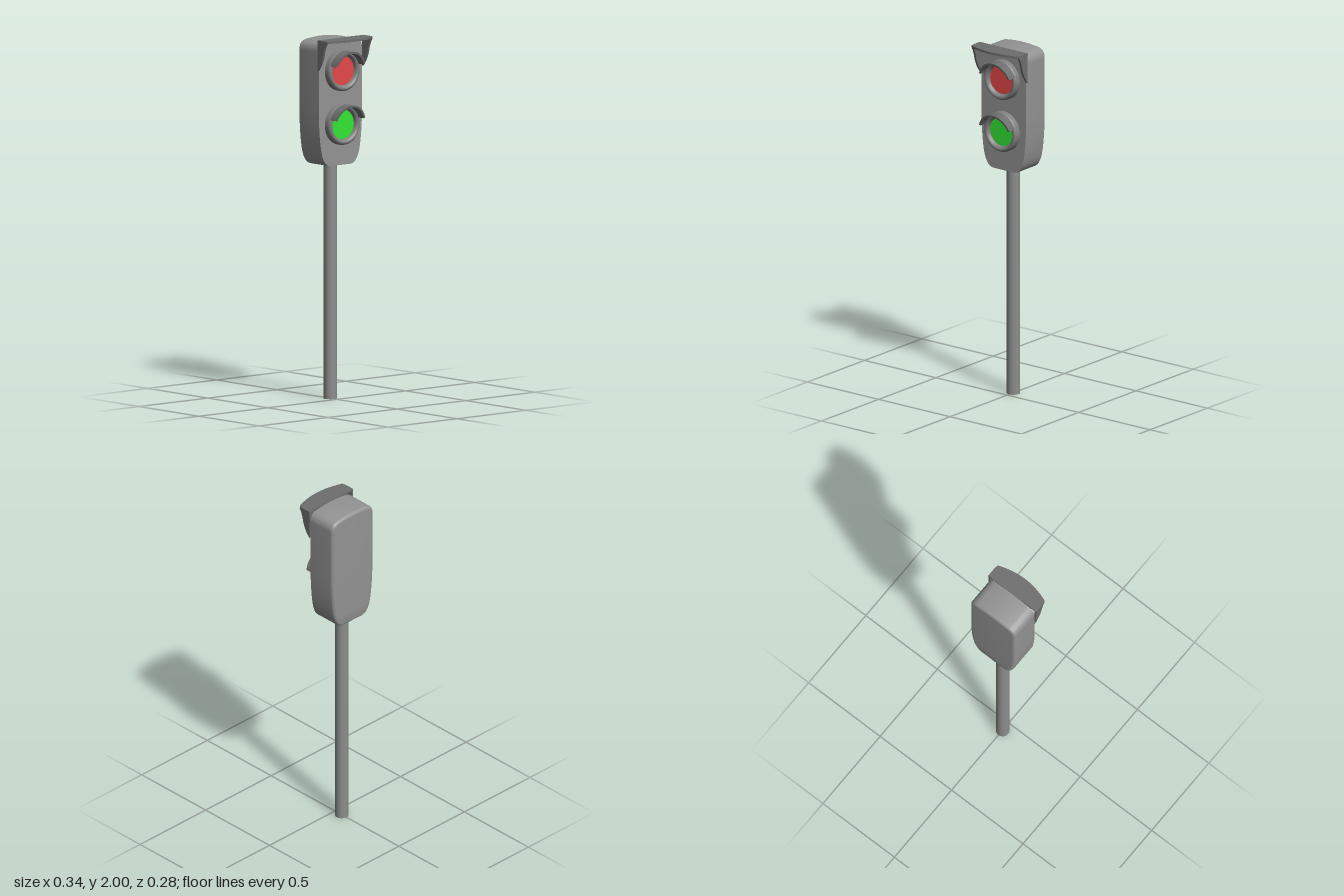
import * as THREE from 'three';
import { toCreasedNormals } from 'three/addons/utils/BufferGeometryUtils.js';

const paint = (color) => new THREE.MeshStandardMaterial({ color });
const housingGrey = paint(0x939393);
const poleGrey = paint(0x8d8d8d);
const rimGrey = paint(0x808080);
const hoodGrey = paint(0x6e6e6e);
const red = paint(0xe64848);
const green = paint(0x33e633);

function part(name, geometry, parent, material) {
  const mesh = new THREE.Mesh(geometry, material);
  mesh.name = name;
  parent.add(mesh);
  return mesh;
}

// Housing: tapered outline with a bowed top, rounded rim at the back, sharp edge at the front
function housingGeometry() {
  const front = 0.03, back = -0.143, bevel = 0.018;
  const s = new THREE.Shape();
  s.moveTo(-0.07, 1.297);
  s.lineTo(0.07, 1.297);
  s.bezierCurveTo(0.11, 1.297, 0.128, 1.335, 0.138, 1.38);
  s.bezierCurveTo(0.149, 1.43, 0.155, 1.51, 0.157, 1.6);
  s.lineTo(0.157, 1.93);
  s.quadraticCurveTo(0.157, 1.982, 0.105, 1.988);
  s.quadraticCurveTo(0, 2.003, -0.105, 1.988);
  s.quadraticCurveTo(-0.157, 1.982, -0.157, 1.93);
  s.lineTo(-0.157, 1.6);
  s.bezierCurveTo(-0.155, 1.51, -0.149, 1.43, -0.138, 1.38);
  s.bezierCurveTo(-0.128, 1.335, -0.11, 1.297, -0.07, 1.297);
  const g = new THREE.ExtrudeGeometry(s, {
    depth: front - back - bevel, curveSegments: 12,
    bevelThickness: bevel, bevelSize: bevel, bevelOffset: -bevel, bevelSegments: 5,
  });
  g.translate(0, 0, back + bevel);
  // flatten the front bevel into the front plane
  const p = g.attributes.position;
  for (let i = 0; i < p.count; i++) p.setZ(i, Math.min(p.getZ(i), front));
  return toCreasedNormals(g, 0.6);
}

// Eyelid visor: an arc band whose front edge leans forward towards the top
function visorGeometry() {
  const a = 0.32, outer = 0.111, inner = 0.1;
  const s = new THREE.Shape();
  s.absarc(0, 0, outer, a, Math.PI - a, false);
  s.absarc(0, 0, inner, Math.PI - a, a, true);
  s.closePath();
  const g = new THREE.ExtrudeGeometry(s, { depth: 1, bevelEnabled: false, curveSegments: 28 });
  const p = g.attributes.position;
  for (let i = 0; i < p.count; i++) {
    const reach = 0.049 + 0.2 * (p.getY(i) - 0.035);
    p.setZ(i, p.getZ(i) * reach);
  }
  return toCreasedNormals(g, 0.6);
}

function signalLamp(name, y, material) {
  const lamp = new THREE.Group();
  lamp.name = name;
  lamp.position.set(0, y, 0.03);
  // rim profile: radius, height above the housing
  const profile = [
    [0.113, -0.005], [0.113, 0.024], [0.111, 0.032], [0.106, 0.038],
    [0.099, 0.041], [0.091, 0.038], [0.085, 0.03], [0.081, 0.018], [0.081, 0],
  ].map(([r, h]) => new THREE.Vector2(r, h));
  part('lampRim', new THREE.LatheGeometry(profile, 48).rotateX(Math.PI / 2), lamp, rimGrey);
  part('lens', new THREE.CircleGeometry(0.082, 48), lamp, material).position.z = 0.018;
  part('visor', visorGeometry(), lamp, hoodGrey).position.z = 0.036;
  return lamp;
}

// Hood: bowed roof plate with a curved cheek on each side
function hood() {
  const group = new THREE.Group();
  group.name = 'hood';
  const thick = 0.012, half = 0.168;

  const roof = new THREE.Shape();
  roof.moveTo(-half, 0.03);
  roof.lineTo(half, 0.03);
  roof.lineTo(half, 0.07);
  roof.quadraticCurveTo(half, 0.108, 0.16, 0.111);
  roof.bezierCurveTo(0.05, 0.152, -0.05, 0.152, -0.16, 0.111);
  roof.quadraticCurveTo(-half, 0.108, -half, 0.07);
  roof.closePath();
  const roofGeo = new THREE.ExtrudeGeometry(roof, { depth: thick, bevelEnabled: false, curveSegments: 16 });
  part('hoodRoof', toCreasedNormals(roofGeo.rotateX(Math.PI / 2), 0.5), group, hoodGrey).position.y = 2;

  const cheek = new THREE.Shape();
  cheek.moveTo(0.03, 1.83);
  cheek.quadraticCurveTo(0.067, 1.87, 0.08, 1.925);
  cheek.quadraticCurveTo(0.088, 1.965, 0.106, 1.99);
  cheek.lineTo(0.03, 1.99);
  cheek.closePath();
  const cheekExtrude = new THREE.ExtrudeGeometry(cheek, { depth: thick, bevelEnabled: false, curveSegments: 8 });
  const cheekGeo = toCreasedNormals(cheekExtrude.rotateY(-Math.PI / 2), 0.5);
  part('hoodCheekLeft', cheekGeo, group, hoodGrey).position.x = half - 0.001;
  part('hoodCheekRight', cheekGeo, group, hoodGrey).position.x = -half + 0.001 + thick;
  return group;
}

export function createModel() {
  const model = new THREE.Group();
  model.name = 'pedestrianSignal';
  const pole = new THREE.CylinderGeometry(0.037, 0.037, 1.31, 32);
  part('pole', pole, model, poleGrey).position.set(0, 0.655, -0.053);
  part('housing', housingGeometry(), model, housingGrey);
  model.add(signalLamp('stopLamp', 1.82, red), signalLamp('goLamp', 1.523, green), hood());
  return model;
}
